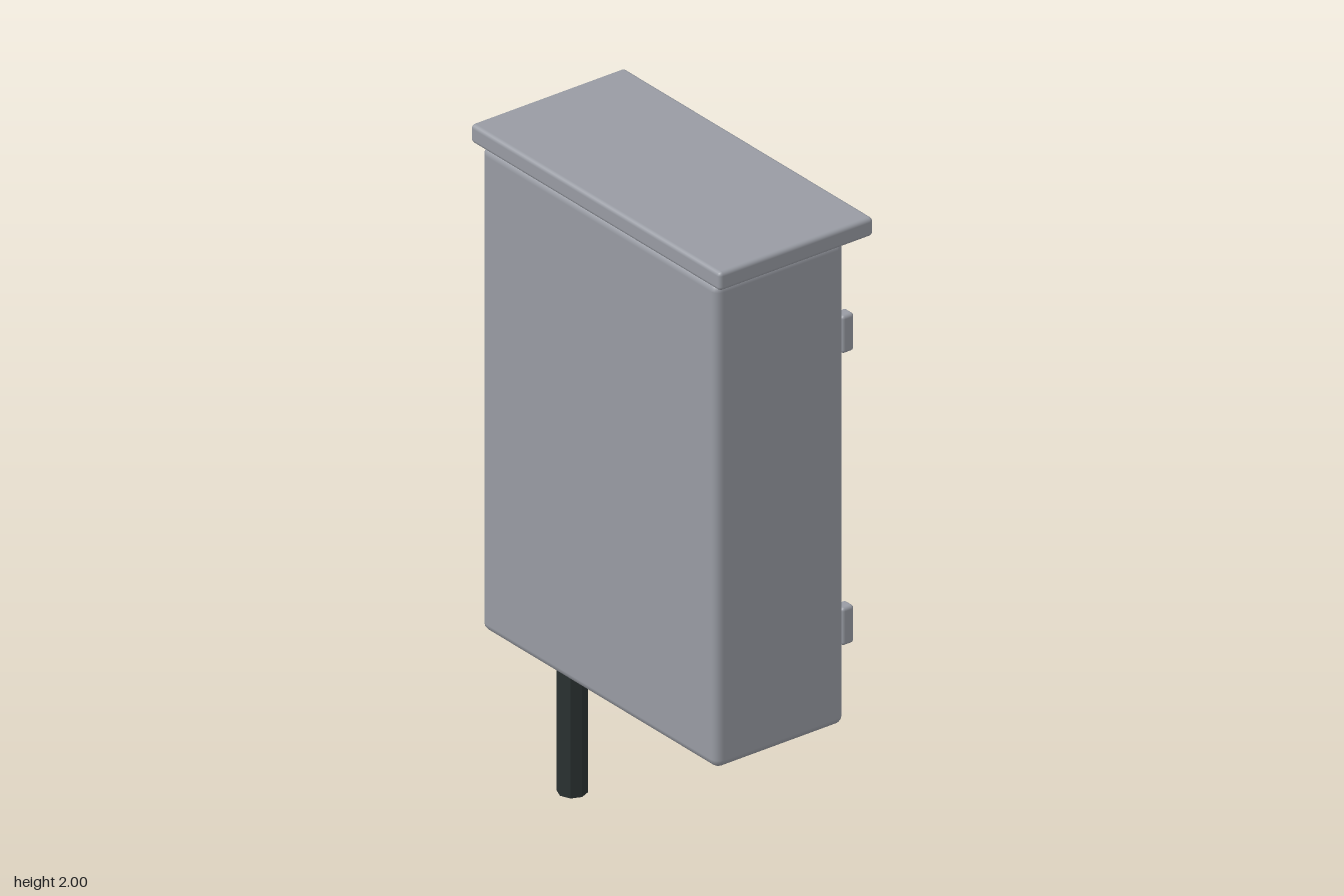
import * as THREE from 'three';
import { RoundedBoxGeometry } from 'three/addons/geometries/RoundedBoxGeometry.js';

export function createModel() {
  const model = new THREE.Group();
  model.name = 'electricalCabinet';

  const material = (name, color) => {
    const m = new THREE.MeshStandardMaterial({ color });
    m.name = name;
    return m;
  };
  const grey = material('paintedGrey', 0x989ba3);
  const dark = material('darkPlastic', 0x2a3232);
  const yellow = material('warningYellow', 0xd4a636);

  const add = (name, geometry, mat, x = 0, y = 0, z = 0) => {
    const mesh = new THREE.Mesh(geometry, mat);
    mesh.name = name;
    mesh.position.set(x, y, z);
    model.add(mesh);
    return mesh;
  };
  // Box given by its limits on each axis, with softened edges
  const block = (name, mat, [x0, x1], [y0, y1], [z0, z1], radius, segments = 2) => {
    const size = [x1 - x0, y1 - y0, z1 - z0];
    const geometry = radius
      ? new RoundedBoxGeometry(...size, segments, radius)
      : new THREE.BoxGeometry(...size);
    return add(name, geometry, mat, (x0 + x1) / 2, (y0 + y1) / 2, (z0 + z1) / 2);
  };

  // Housing and overhanging roof
  block('housing', grey, [-0.52, 0.52], [0.455, 1.943], [-0.19, 0.253], 0.025);
  block('roof', grey, [-0.55, 0.55], [1.943, 2], [-0.265, 0.265], 0.012);

  // Door on the back face, with hinges along its +x edge
  block('door', grey, [-0.47, 0.47], [0.51, 1.88], [-0.213, -0.18], 0.008);
  for (const y of [0.75, 1.648]) {
    block('hinge', grey, [0.475, 0.517], [y - 0.058, y + 0.058], [-0.225, -0.183], 0.01);
  }
  block('doorHandle', dark, [-0.395, -0.338], [1.105, 1.285], [-0.236, -0.2], 0.012);

  // Plates fixed to the door
  block('lowerPlate', grey, [-0.305, 0.305], [0.655, 0.84], [-0.221, -0.212]);
  block('warningSign', yellow, [-0.12, 0.12], [1.51, 1.72], [-0.221, -0.212]);

  // Hazard bolt on the sign, facing backwards
  const bolt = new THREE.Shape([
    [-0.014, 0.052], [-0.036, -0.014], [-0.004, -0.01],
    [0.008, -0.052], [0.036, 0.012], [0.006, 0.008],
  ].map(([x, y]) => new THREE.Vector2(x, y)));
  const boltGeometry = new THREE.ExtrudeGeometry(bolt, { depth: 0.003, bevelEnabled: false });
  add('hazardBolt', boltGeometry, dark, 0, 1.615, -0.22).rotation.y = Math.PI;

  // Faceted cable conduit down to the ground
  const conduit = new THREE.CylinderGeometry(0.043, 0.043, 0.48, 8).toNonIndexed();
  conduit.computeVertexNormals();
  add('cableConduit', conduit, dark, -0.302, 0.24, 0.107);

  return model;
}
